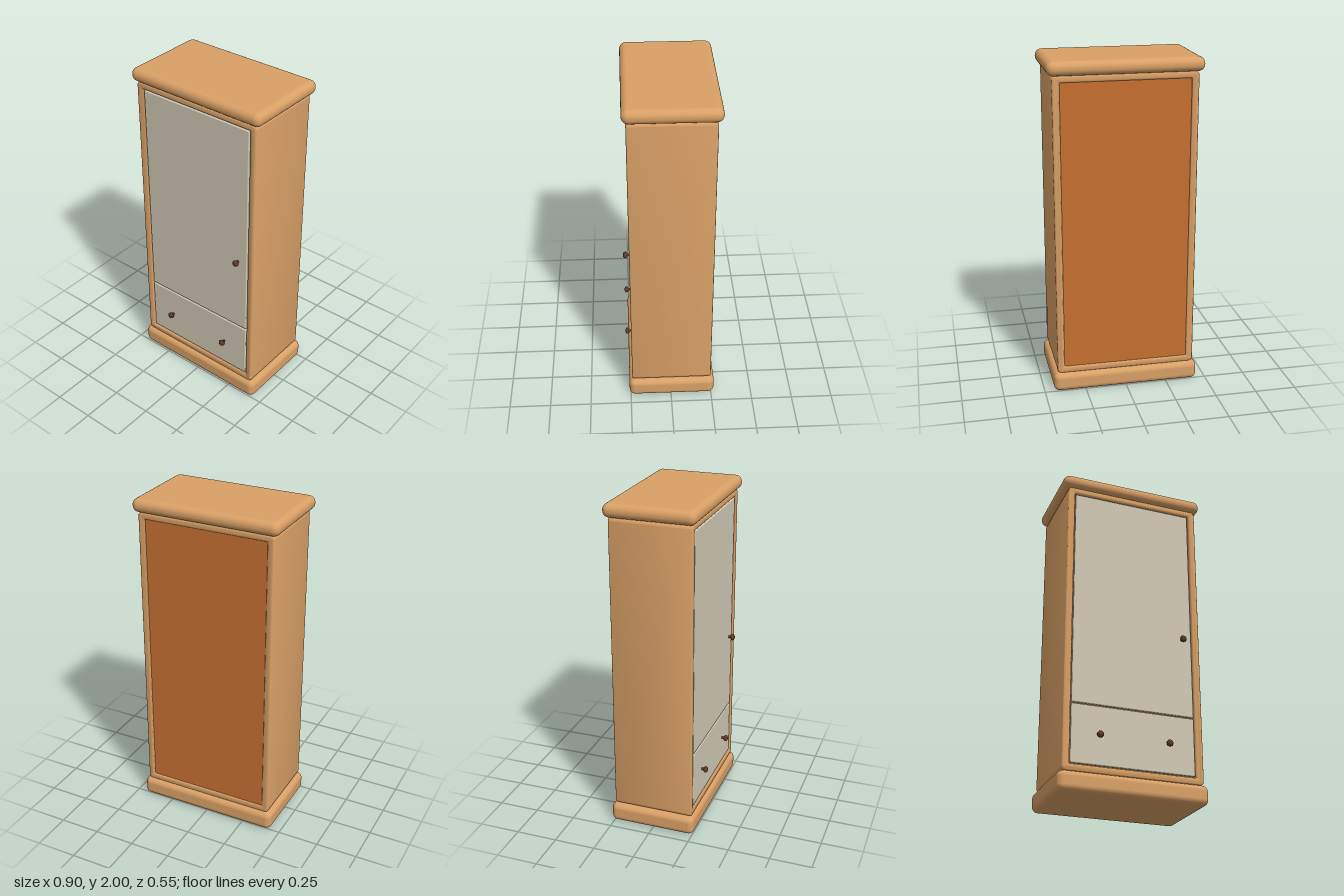
import * as THREE from 'three';
import { toCreasedNormals } from 'three/addons/utils/BufferGeometryUtils.js';
import { RoundedBoxGeometry } from 'three/addons/geometries/RoundedBoxGeometry.js';

const material = (name, color) => {
  const m = new THREE.MeshStandardMaterial({ color });
  m.name = name;
  return m;
};

// Trace a rounded rectangle on a Shape or Path
function roundedRect(path, x0, y0, x1, y1, r) {
  path.moveTo(x0 + r, y0);
  path.lineTo(x1 - r, y0);
  path.absarc(x1 - r, y0 + r, r, -Math.PI / 2, 0);
  path.lineTo(x1, y1 - r);
  path.absarc(x1 - r, y1 - r, r, 0, Math.PI / 2);
  path.lineTo(x0 + r, y1);
  path.absarc(x0 + r, y1 - r, r, Math.PI / 2, Math.PI);
  path.lineTo(x0, y0 + r);
  path.absarc(x0 + r, y0 + r, r, Math.PI, Math.PI * 1.5);
  return path;
}

export function createModel() {
  const wood = material('light wood', 0xd9a066);
  const cream = material('cream paint', 0xd2cab6);
  const backWood = material('reddish wood', 0xc66f30);
  const knobWood = material('dark brown', 0x5e3a26);
  const model = new THREE.Group();
  model.name = 'wardrobe';

  const add = (name, geometry, mat, x, y, z) => {
    const mesh = new THREE.Mesh(geometry, mat);
    mesh.name = name;
    mesh.position.set(x, y, z);
    model.add(mesh);
    return mesh;
  };
  // Rounded box given by its lower and upper limits
  const block = (name, mat, [x0, x1], [y0, y1], [z0, z1], r) =>
    add(name, new RoundedBoxGeometry(x1 - x0, y1 - y0, z1 - z0, 5, r), mat,
      (x0 + x1) / 2, (y0 + y1) / 2, (z0 + z1) / 2);

  // Plinth and cornice
  block('plinth', wood, [-0.443, 0.443], [0, 0.118], [-0.268, 0.258], 0.036);
  block('cornice', wood, [-0.45, 0.45], [1.918, 2], [-0.275, 0.263], 0.039);

  // Carcass: a hollow box open at front and back, with rounded rims
  const bevel = 0.012;
  const outline = roundedRect(new THREE.Shape(), -0.42, 0.116, 0.42, 1.92, 0.025);
  outline.holes.push(roundedRect(new THREE.Path(), -0.376, 0.158, 0.376, 1.88, 0.006));
  const carcass = new THREE.ExtrudeGeometry(outline, {
    depth: 0.488 - 2 * bevel, bevelSize: bevel, bevelThickness: bevel,
    bevelOffset: -bevel, bevelSegments: 4, curveSegments: 6,
  });
  add('carcass', toCreasedNormals(carcass, 0.6), wood, 0, 0, -0.248 + bevel);

  // Back panel and inner shelves
  block('backPanel', backWood, [-0.38, 0.38], [0.154, 1.884], [-0.24, -0.225], 0.002);
  for (const y of [0.512, 0.9, 1.3]) {
    add('shelf', new THREE.BoxGeometry(0.756, 0.02, 0.42), wood, 0, y, -0.015);
  }

  // Door and drawer front
  block('door', cream, [-0.371, 0.369], [0.516, 1.875], [0.214, 0.236], 0.006);
  block('drawerFront', cream, [-0.371, 0.369], [0.164, 0.509], [0.214, 0.236], 0.006);

  // Knobs: turned profile with a short stem
  const profile = [[0.008, 0], [0.007, 0.012], [0.012, 0.016], [0.019, 0.023],
    [0.02, 0.029], [0.016, 0.036], [0.009, 0.04], [0, 0.041]]
    .map(([r, h]) => new THREE.Vector2(r, h));
  const knobGeometry = new THREE.LatheGeometry(profile, 20);
  for (const [name, x, y] of [['doorKnob', 0.308, 1], ['drawerKnob', 0.206, 0.335],
    ['drawerKnob', -0.208, 0.335]]) {
    add(name, knobGeometry, knobWood, x, y, 0.234).rotation.x = Math.PI / 2;
  }

  return model;
}
